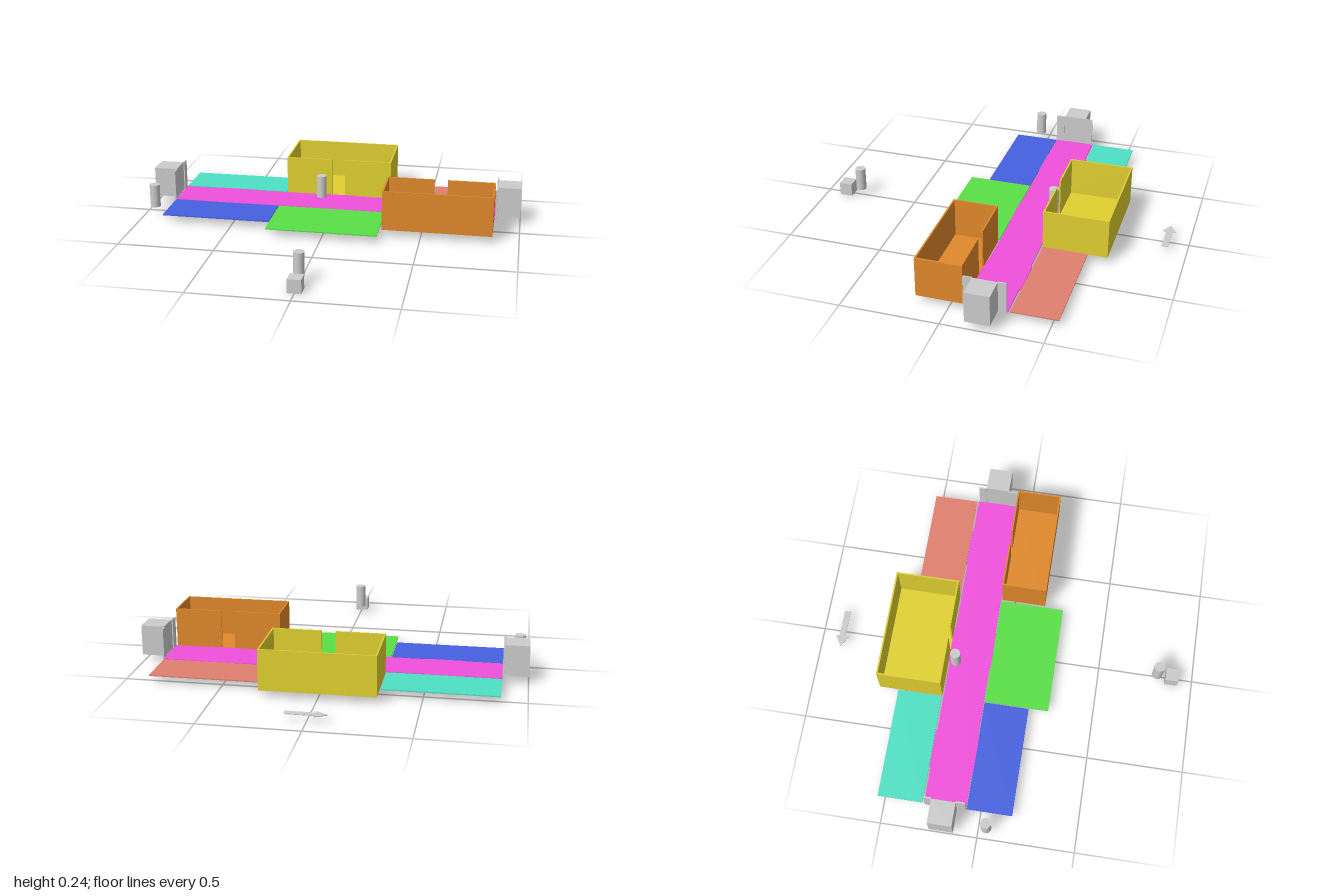
import * as THREE from 'three';

const FLOOR = 0.036, SLAB = 0.006, WALL_TOP = 0.245, T = 0.008;

function material(color = 0xcccccc) {
  return new THREE.MeshStandardMaterial({ color });
}

// Box given by its extents on each axis
function block(name, mat, x0, x1, y0, y1, z0, z1) {
  const mesh = new THREE.Mesh(new THREE.BoxGeometry(x1 - x0, y1 - y0, z1 - z0), mat);
  mesh.position.set((x0 + x1) / 2, (y0 + y1) / 2, (z0 + z1) / 2);
  mesh.name = name;
  return mesh;
}

// Floor slab, optionally enclosed by walls with a doorway on one z side
function room({ name, color, x0, x1, z0, z1, door }) {
  const g = new THREE.Group();
  g.name = name;
  const mat = material(color);
  const y0 = FLOOR + SLAB;
  g.add(block('floor', mat, x0, x1, FLOOR, y0, z0, z1));
  if (door) {
    const wall = (n, a, b, c, d) => g.add(block(n, mat, a, b, y0, WALL_TOP, c, d));
    wall('sideWallRight', x0, x0 + T, z0, z1);
    wall('sideWallLeft', x1 - T, x1, z0, z1);
    const [far, near] = door === 'front' ? [z0, z1 - T] : [z1 - T, z0];
    const mid = (x0 + x1) / 2;
    wall('solidWall', x0 + T, x1 - T, far, far + T);
    wall('doorWallRight', x0 + T, mid - 0.035, near, near + T);
    wall('doorWallLeft', mid + 0.035, x1 - T, near, near + T);
  }
  return g;
}

export function createModel() {
  const model = new THREE.Group();
  model.name = 'floorPlan';
  const grey = material();

  // Six rooms along the corridor
  [
    { name: 'tealRoom', color: 0x4ee0c4, x0: -0.87, x1: -0.295, z0: -0.535, z1: -0.302 },
    { name: 'yellowRoom', color: 0xe0d030, x0: -0.29, x1: 0.288, z0: -0.635, z1: -0.3, door: 'front' },
    { name: 'redRoom', color: 0xe08070, x0: 0.293, x1: 0.868, z0: -0.535, z1: -0.302 },
    { name: 'blueRoom', color: 0x4660e0, x0: -0.87, x1: -0.295, z0: -0.073, z1: 0.162 },
    { name: 'greenRoom', color: 0x5ae048, x0: -0.29, x1: 0.288, z0: -0.073, z1: 0.265 },
    { name: 'orangeRoom', color: 0xe0882c, x0: 0.3, x1: 0.865, z0: -0.07, z1: 0.165, door: 'back' },
  ].forEach((r) => model.add(room(r)));

  // Corridor with a narrow threshold at each doorway
  const pink = material(0xf050dc);
  const top = FLOOR + SLAB;
  model.add(block('corridor', pink, -0.872, 0.872, FLOOR, top, -0.293, -0.077));
  for (const x of [-0.582, 0, 0.582]) {
    model.add(block('threshold', pink, x - 0.1, x + 0.1, FLOOR, top, -0.3, -0.293));
    model.add(block('threshold', pink, x - 0.1, x + 0.1, FLOOR, top, -0.077, -0.071));
  }

  // End cabins flanked by thin wall panels
  for (const s of [-1, 1]) {
    const end = new THREE.Group();
    end.name = s < 0 ? 'rightEnd' : 'leftEnd';
    const span = (a, b) => (s < 0 ? [-b, -a] : [a, b]);
    end.add(block('cabin', grey, ...span(0.876, 1), 0.04, 0.2, -0.246, -0.122));
    end.add(block('backPanel', grey, ...span(0.87, 0.878), 0.04, 0.2, -0.287, -0.246));
    end.add(block('frontPanel', grey, ...span(0.87, 0.878), 0.04, 0.2, -0.122, -0.075));
    model.add(end);
  }

  // Standing posts
  for (const [x, z] of [[-0.09, -0.26], [-0.95, 0.04], [0, 0.81]]) {
    const post = new THREE.Mesh(new THREE.CylinderGeometry(0.027, 0.027, 0.123, 32), grey);
    post.position.set(x, 0.1015, z);
    post.name = 'post';
    model.add(post);
  }

  // Small block in front
  model.add(block('smallBlock', grey, -0.034, 0.034, 0, 0.07, 0.855, 0.923));

  // Flat arrow lying behind the rooms
  const outline = [[-0.1, 0], [-0.04, -0.034], [-0.04, -0.016], [0.104, -0.016],
    [0.104, 0.016], [-0.04, 0.016], [-0.04, 0.034]];
  const shape = new THREE.Shape(outline.map(([x, y]) => new THREE.Vector2(x, y)));
  const geo = new THREE.ExtrudeGeometry(shape, { depth: 0.004, bevelEnabled: false });
  geo.rotateX(-Math.PI / 2);
  const arrow = new THREE.Mesh(geo, grey);
  arrow.position.set(0, 0.037, -0.89);
  arrow.name = 'arrow';
  model.add(arrow);

  return model;
}
